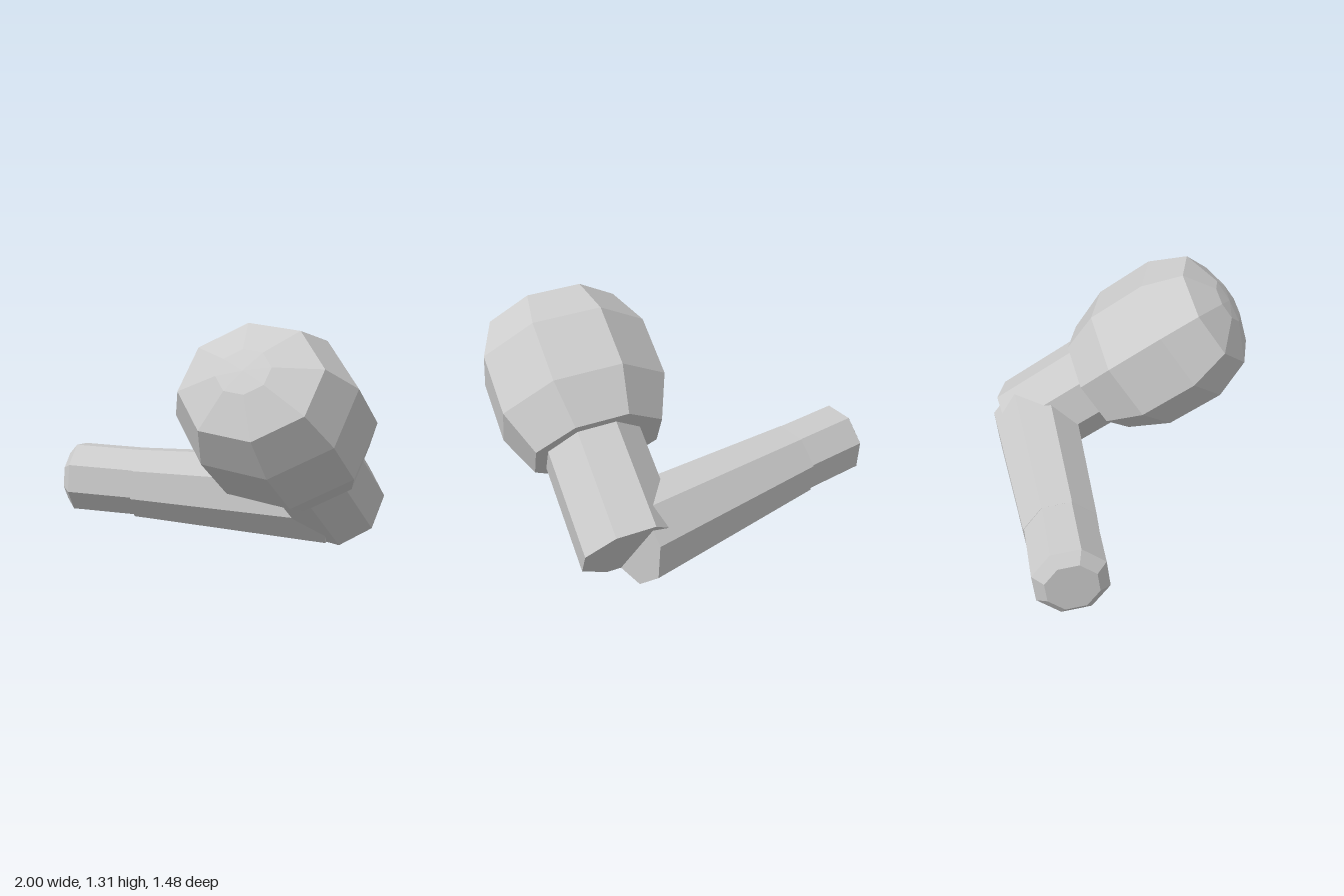
import * as THREE from 'three';

const SIDES = 8;
const PHASE = THREE.MathUtils.degToRad(15.5);
const material = new THREE.MeshStandardMaterial({ color: 0xcccccc, flatShading: true });

// Closed eight-sided loft along +z; rings are [distance, radius], ends fan to a centre point
function loft(rings, endBulge = 0) {
  const pos = [], index = [];
  for (const [t, r] of rings) {
    for (let i = 0; i < SIDES; i++) {
      const a = PHASE + (i / SIDES) * Math.PI * 2;
      pos.push(r * Math.cos(a), r * Math.sin(a), t);
    }
  }
  const last = (rings.length - 1) * SIDES;
  const start = rings.length * SIDES, end = start + 1;
  pos.push(0, 0, rings[0][0], 0, 0, rings[rings.length - 1][0] + endBulge);
  for (let i = 0; i < SIDES; i++) {
    const j = (i + 1) % SIDES;
    for (let k = 0; k < last; k += SIDES) {
      index.push(k + i, k + j, k + SIDES + j, k + i, k + SIDES + j, k + SIDES + i);
    }
    index.push(start, j, i, end, last + i, last + j);
  }
  const g = new THREE.BufferGeometry();
  g.setAttribute('position', new THREE.Float32BufferAttribute(pos, 3));
  g.setIndex(index);
  g.computeVertexNormals();
  return g;
}

// Mesh placed at one point with its axis aimed at another
function limb(name, geometry, from, to) {
  const mesh = new THREE.Mesh(geometry, material);
  mesh.name = name;
  mesh.position.set(...from);
  mesh.lookAt(new THREE.Vector3(...to));
  return mesh;
}

export function createModel() {
  const model = new THREE.Group();
  model.name = 'bentArm';

  // Shoulder stub with a bevelled end
  model.add(limb('shoulder',
    loft([[-0.05, 0.145], [0, 0.206], [0.4, 0.206]]),
    [-0.915, 0.315, -0.13], [-0.54, 0.305, -0.217]));

  // Upper arm, widening towards the elbow
  model.add(limb('upperArm',
    loft([[0, 0.212], [1.13, 0.262]]),
    [-0.545, 0.3, -0.215], [0.55, 0.267, -0.495]));

  // Forearm rising forward from the elbow
  const elbow = [0.57, 0.235, -0.56];
  model.add(limb('forearm',
    loft([[0, 0.27], [0.65, 0.27]]),
    elbow, [0.57, 0.835, 0.24]));

  // Large rounded fist, a little wider than tall
  const fist = limb('fist',
    loft([[0.59, 0.326], [0.83, 0.42], [1.175, 0.42], [1.39, 0.33], [1.475, 0.125]], 0.01),
    [0.54, 0.24, -0.56], [0.54, 0.84, 0.24]);
  fist.scale.x = 1.14;
  model.add(fist);

  return model;
}
